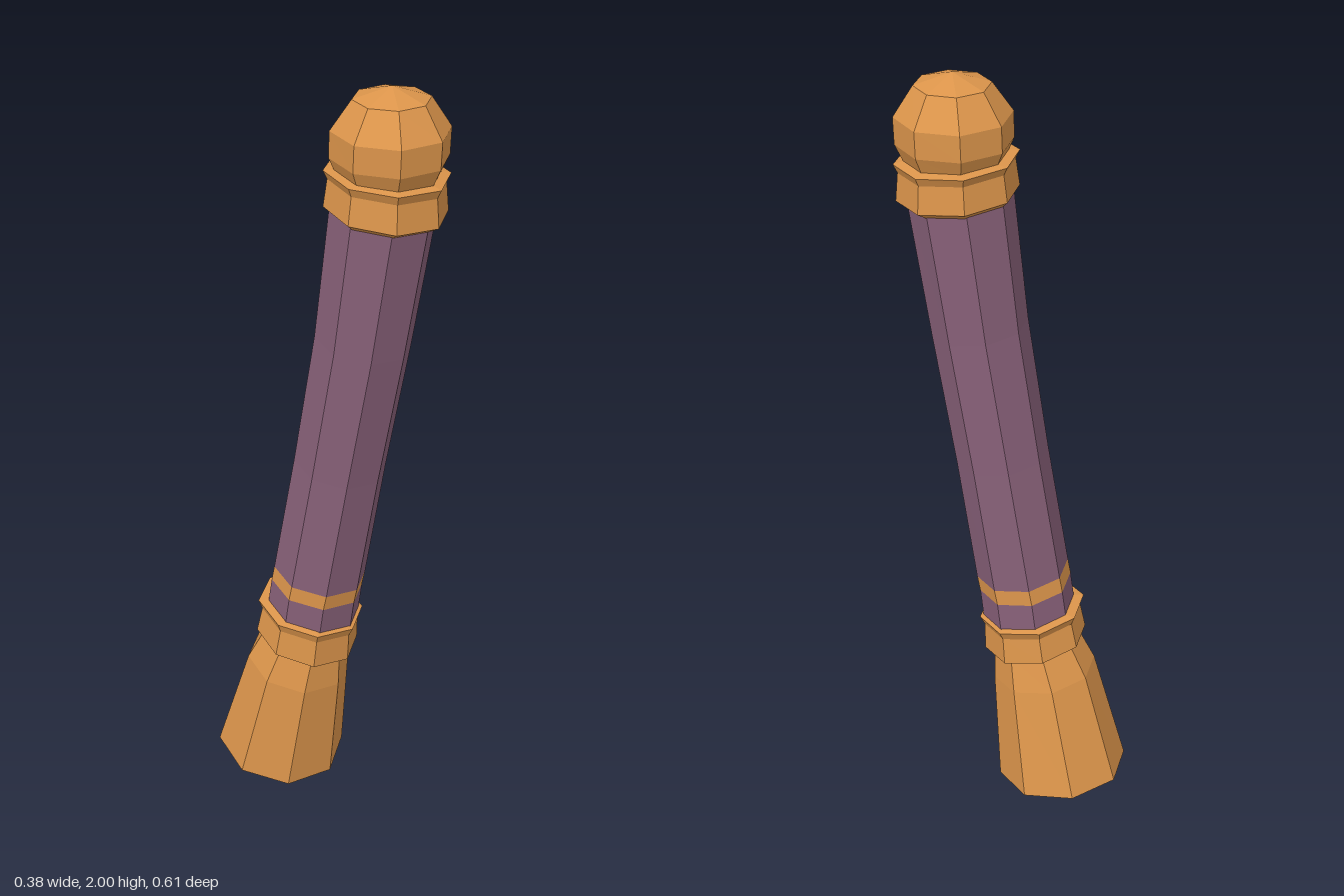
import * as THREE from 'three';

const SIDES = 8;

// Lofts octagonal rings [x, y, z, radius, tiltX, tiltZ], listed from bottom to top.
function loft(name, material, rings) {
  const positions = [];
  const point = ([x, y, z, r, tx, tz], j) => {
    const a = (j % SIDES) / SIDES * Math.PI * 2;
    const dx = r * Math.cos(a), dz = r * Math.sin(a);
    return [x + dx, y - tx * dx - tz * dz, z + dz];
  };
  for (let i = 0; i + 1 < rings.length; i++) {
    const lower = rings[i], upper = rings[i + 1];
    for (let j = 0; j < SIDES; j++) {
      const a = point(lower, j), b = point(lower, j + 1);
      const c = point(upper, j), d = point(upper, j + 1);
      if (upper[3] > 0) positions.push(...a, ...c, ...d);
      else positions.push(...a, ...c, ...b);
      if (lower[3] > 0 && upper[3] > 0) positions.push(...a, ...d, ...b);
    }
  }
  const geometry = new THREE.BufferGeometry();
  geometry.setAttribute('position', new THREE.Float32BufferAttribute(positions, 3));
  geometry.computeVertexNormals();
  const mesh = new THREE.Mesh(geometry, material);
  mesh.name = name;
  return mesh;
}

export function createModel() {
  const wood = new THREE.MeshStandardMaterial({ color: 0xdc954b, flatShading: true });
  wood.name = 'warm wood';
  const grip = new THREE.MeshStandardMaterial({ color: 0x876078, flatShading: true });
  grip.name = 'plum grip';

  const model = new THREE.Group();
  model.name = 'curvedHandle';

  // Flared foot with a shallow hollow underneath
  model.add(loft('flaredFoot', wood, [
    [-0.018, 0.065, -0.127, 0, 0, 0.17],
    [-0.018, 0.032, -0.132, 0.175, -0.02, 0.17],
    [-0.018, 0.345, -0.067, 0.137, 0.02, 0.19],
    [-0.012, 0.44, -0.043, 0.112, 0.05, 0.2],
  ]));

  // Lower collar with a raised lip
  model.add(loft('lowerCollar', wood, [
    [-0.012, 0.425, -0.045, 0.108, 0.05, 0.2],
    [-0.012, 0.44, -0.04, 0.136, 0.05, 0.2],
    [-0.01, 0.515, -0.031, 0.129, 0.06, 0.18],
    [-0.009, 0.54, -0.03, 0.14, 0.06, 0.17],
    [-0.008, 0.546, -0.026, 0.11, 0.06, 0.17],
  ]));

  // Bent shaft, with a flush band near its lower end
  const bandBottom = [-0.004, 0.617, -0.012, 0.121, 0.05, 0.15];
  const bandTop = [-0.002, 0.66, -0.004, 0.121, 0.05, 0.15];
  model.add(loft('lowerShaft', grip, [
    [-0.006, 0.52, -0.025, 0.122, 0.05, 0.16], bandBottom,
  ]));
  model.add(loft('shaftBand', wood, [bandBottom, bandTop]));
  model.add(loft('upperShaft', grip, [
    bandTop,
    [0.012, 1.0, 0.049, 0.117, 0.04, 0.16],
    [0.026, 1.36, 0.106, 0.119, 0.04, 0.14],
    [0.041, 1.72, 0.15, 0.127, 0.03, 0.1],
  ]));

  // Upper collar
  model.add(loft('upperCollar', wood, [
    [0.041, 1.69, 0.15, 0.124, 0.03, 0.09],
    [0.042, 1.706, 0.154, 0.147, 0.03, 0.09],
    [0.043, 1.775, 0.155, 0.139, 0.03, 0.08],
    [0.043, 1.796, 0.155, 0.149, 0.03, 0.07],
    [0.043, 1.802, 0.157, 0.115, 0.03, 0.06],
  ]));

  // Domed end knob
  model.add(loft('domedKnob', wood, [
    [0.043, 1.79, 0.159, 0.12, 0, 0.03],
    [0.043, 1.835, 0.16, 0.14, 0, 0.02],
    [0.043, 1.9, 0.162, 0.14, 0, 0.01],
    [0.043, 1.972, 0.163, 0.091, 0, 0],
    [0.043, 2.0, 0.163, 0, 0, 0],
  ]));

  return model;
}
